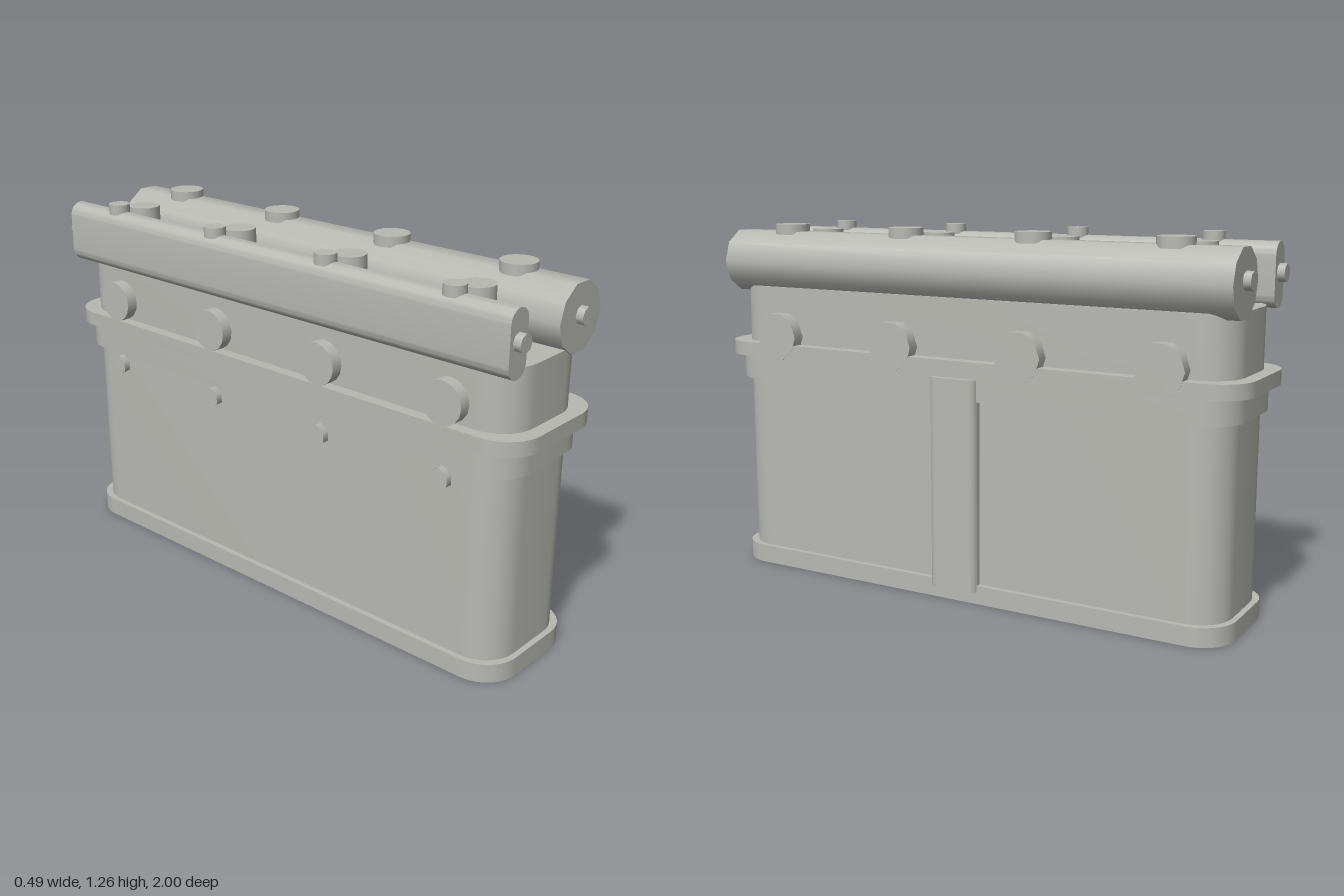
import * as THREE from 'three';
import { toCreasedNormals } from 'three/addons/utils/BufferGeometryUtils.js';

const metal = new THREE.MeshStandardMaterial({ color: 0xb8b8b3 });
metal.name = 'cast grey metal';

// Rounded rectangle outline, centred on (cx, cy)
function roundedRect(cx, cy, hw, hh, r) {
  const s = new THREE.Shape();
  const q = Math.PI / 2;
  s.absarc(cx + hw - r, cy + hh - r, r, 0, q);
  s.absarc(cx - hw + r, cy + hh - r, r, q, 2 * q);
  s.absarc(cx - hw + r, cy - hh + r, r, 2 * q, 3 * q);
  s.absarc(cx + hw - r, cy - hh + r, r, 3 * q, 4 * q);
  s.closePath();
  return s;
}

function extrude(shape, depth, segments) {
  return new THREE.ExtrudeGeometry(shape, { depth, bevelEnabled: false, curveSegments: segments });
}

export function createModel() {
  const model = new THREE.Group();
  model.name = 'engineBlock';

  const add = (name, geometry, x = 0, y = 0, z = 0) => {
    const mesh = new THREE.Mesh(geometry, metal);
    mesh.name = name;
    mesh.position.set(x, y, z);
    model.add(mesh);
    return mesh;
  };

  // Upright slab with rounded corners between two heights
  const slab = (name, cx, hw, hz, r, y0, y1) => {
    const g = extrude(roundedRect(cx, 0, hw, hz, r), y1 - y0, 5);
    g.rotateX(-Math.PI / 2);
    add(name, toCreasedNormals(g, 0.8), 0, y0, 0);
  };

  // Cylinders along each axis, from a start to an end
  const alongY = (name, r, x, z, y0, y1, sides = 16) =>
    add(name, new THREE.CylinderGeometry(r, r, y1 - y0, sides), x, (y0 + y1) / 2, z);
  const alongX = (name, r, y, z, x0, x1, sides = 10) =>
    add(name, new THREE.CylinderGeometry(r, r, x1 - x0, sides).rotateZ(Math.PI / 2), (x0 + x1) / 2, y, z);
  const alongZ = (name, r, x, y, z0, z1, sides = 10) =>
    add(name, new THREE.CylinderGeometry(r, r, z1 - z0, sides, 1, false, Math.PI / 2).rotateX(Math.PI / 2),
      x, y, (z0 + z1) / 2);

  // Stacked housing
  slab('baseFoot', -0.005, 0.227, 0.965, 0.125, 0, 0.065);
  slab('mainBody', -0.005, 0.208, 0.945, 0.12, 0.065, 0.7);
  slab('collar', -0.005, 0.227, 0.965, 0.125, 0.7, 0.785);
  slab('flange', -0.005, 0.242, 1, 0.125, 0.785, 0.835);
  slab('headBlock', -0.007, 0.2, 0.953, 0.12, 0.835, 1.038);

  // Upright rib on the +x side
  slab('sideRib', 0.2, 0.043, 0.09, 0.03, 0.043, 0.775);

  // Long round pipe and slim rail on top
  alongZ('roundPipe', 0.114, 0.124, 1.127, -0.96, 0.96);
  const rail = extrude(roundedRect(0, 0, 0.044, 0.107, 0.0439), 1.92, 4);
  add('slimRail', toCreasedNormals(rail, 0.8), -0.204, 1.128, -0.96);

  // Bolts on both ends of the pipe and rail
  for (const x of [-0.204, 0.124]) {
    alongZ('frontEndBolt', 0.03, x, 1.135, 0.95, 0.985, 8);
    alongZ('backEndBolt', 0.03, x, 1.135, -0.985, -0.95, 8);
  }

  // Parts repeated at the four stations
  for (const z of [-0.737, -0.246, 0.246, 0.737]) {
    alongY('pipeCap', 0.061, 0.124, z, 1.225, 1.261);
    alongY('railCap', 0.037, -0.203, z, 1.225, 1.261);
    alongY('topPost', 0.056, -0.087, z, 1.03, 1.235);
    alongX('rightBoss', 0.085, 0.864, z, 0.18, 0.238);
    alongX('leftBoss', 0.072, 0.905, z, -0.248, -0.195, 16);
    alongX('leftBoltHead', 0.036, 0.66, z, -0.247, -0.223, 6).rotation.x = Math.PI / 6;
    alongX('leftBoltShank', 0.014, 0.66, z, -0.225, -0.205, 8);
  }

  return model;
}
